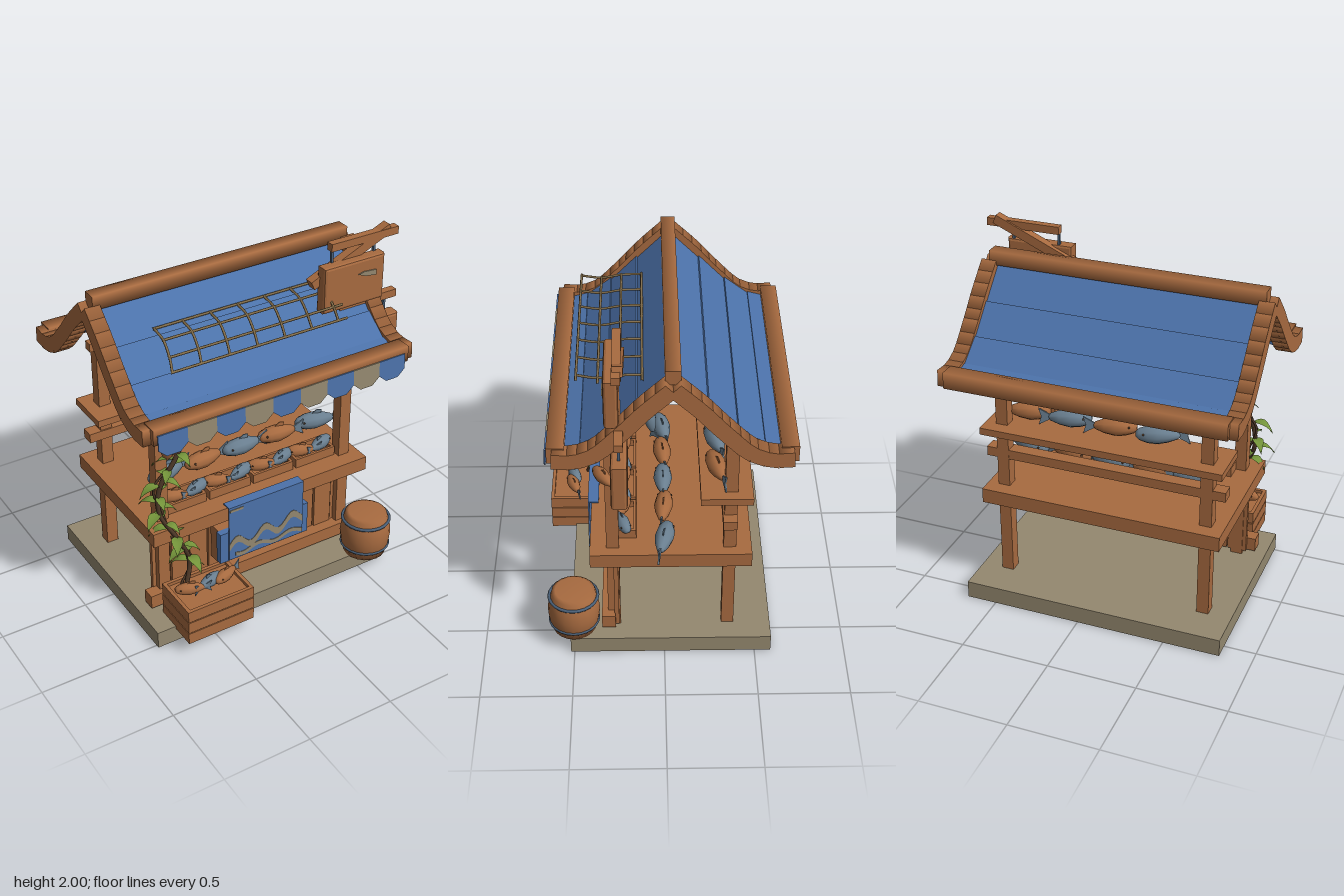
import * as THREE from 'three';

const mat = (name, color) => new THREE.MeshStandardMaterial({ name, color });
const V = (x, y, z) => new THREE.Vector3(x, y, z);

export function createModel() {
  const model = new THREE.Group();
  model.name = 'marketStall';
  const wood = mat('wood', 0xa86b40), blue = mat('blueCloth', 0x4c72aa), tan = mat('tanStone', 0x94886f);
  const grey = mat('greyFish', 0x6a7f90), iron = mat('iron', 0x4a6078), dark = mat('darkStem', 0x4d3827);
  const green = mat('leafGreen', 0x74943a), rope = mat('rope', 0x86704c);
  green.side = THREE.DoubleSide;

  const add = (parent, name, geo, material, x = 0, y = 0, z = 0) => {
    const m = new THREE.Mesh(geo, material);
    m.name = name;
    m.position.set(x, y, z);
    parent.add(m);
    return m;
  };
  // Box given by its extents
  const box = (name, x0, x1, y0, y1, z0, z1, material = wood, parent = model) =>
    add(parent, name, new THREE.BoxGeometry(x1 - x0, y1 - y0, z1 - z0), material, (x0 + x1) / 2, (y0 + y1) / 2, (z0 + z1) / 2);
  // Square beam along x with softly shaded edges
  const log = (len, h, d) => new THREE.CylinderGeometry(Math.SQRT1_2, Math.SQRT1_2, 1, 4)
    .rotateY(Math.PI / 4).rotateZ(Math.PI / 2).scale(len, h, d);
  // Box beam between two points
  const beam = (name, a, b, w, material = wood) => {
    const m = add(model, name, new THREE.BoxGeometry(w, w, a.distanceTo(b)), material);
    m.position.copy(a).lerp(b, 0.5);
    m.lookAt(b);
    return m;
  };
  const tube = (name, pts, r, material, seg = 12) =>
    add(model, name, new THREE.TubeGeometry(new THREE.CatmullRomCurve3(pts), seg, r, 6), material);
  const plate = (pts, depth) => new THREE.ExtrudeGeometry(
    new THREE.Shape(pts.map(p => new THREE.Vector2(p[0], p[1]))), { depth, bevelEnabled: false });

  // Base, posts and braces
  box('base', -0.82, 0.67, 0, 0.1, -0.59, 0.52, tan);
  for (const [x, s] of [[-0.655, 1], [0.515, -1]]) {
    for (const [z, top] of [[0.277, 1.5], [-0.352, 1.47]]) {
      box('post', x - 0.034, x + 0.034, 0.1, top, z - 0.034, z + 0.034);
      beam('brace', V(x, 1.18, z), V(x + s * 0.2, 1.4, z), 0.035);
    }
  }
  for (const z of [0.277, -0.352]) box('topRail', -0.72, 0.58, 1.39, 1.44, z - 0.025, z + 0.025);

  // Counter, shelf and front wall
  box('counterTop', -0.76, 0.61, 0.575, 0.66, -0.47, 0.4);
  box('shelf', -0.76, 0.61, 1.0, 1.04, -0.465, -0.19);
  box('backRail', -0.76, 0.61, 0.83, 0.885, -0.385, -0.31);
  box('bottomRail', -0.76, 0.6, 0.12, 0.2, 0.27, 0.345);
  const planks = 11, pw = 1.29 / planks;
  for (let i = 0; i < planks; i++) {
    const x = -0.71 + i * pw;
    box('wallPlank', x, x + pw - 0.007, 0.12, 0.575, 0.25, 0.275 + (i % 2) * 0.008);
  }

  // Roof: two mirrored slopes of overlapping cloth rows
  const roof = new THREE.Group();
  roof.name = 'roof';
  roof.position.set(-0.07, 0, -0.04);
  model.add(roof);
  add(roof, 'ridgeBeam', log(1.54, 0.078, 0.078), wood, 0, 1.867, 0);
  const rows = [[0, 1.825], [0.17, 1.668], [0.32, 1.525], [0.46, 1.425], [0.57, 1.4]];
  const rim = new THREE.CatmullRomCurve3([V(0, 1.815, 0), V(0.0, 1.7, 0.135), V(0, 1.566, 0.257),
    V(0, 1.44, 0.39), V(0, 1.4, 0.495), V(0, 1.4, 0.6)].map((p, i) => i ? p : V(0, 1.82, 0.01)));
  for (const turn of [0, Math.PI]) {
    const slope = new THREE.Group();
    slope.name = 'roofSlope';
    slope.rotation.y = turn;
    roof.add(slope);
    for (let i = 0; i < 4; i++) {
      const [d0, y0] = rows[i], [d1, y1] = rows[i + 1];
      const len = Math.hypot(d1 - d0, y1 - y0) + 0.012;
      const pts = [[0.73, 0], [-0.73, 0], [-0.73, -len]];
      for (let x = -0.6 + (i % 2) * 0.12; x < 0.72; x += 0.245)
        pts.push([x - 0.02, -len], [x, -len + 0.012], [x + 0.02, -len]);
      pts.push([0.73, -len]);
      const row = add(slope, 'roofRow', plate(pts, 0.012), blue, 0, y0, d0);
      row.rotation.x = Math.atan2(d0 - d1, y0 - y1) + 0.0;
      row.rotation.x += 0.04; // lower edge lifts over the next row
    }
    add(slope, 'eaveBeam', log(1.54, 0.09, 0.09), wood, 0, 1.405, 0.585);
    const n = 11;
    for (const x of [-0.772, 0.772]) for (let i = 0; i < n; i++) {
      const u = (i + 0.5) / n, p = rim.getPointAt(u), t = rim.getTangentAt(u);
      const tile = add(slope, 'rimBlock', log(0.086, 0.088, rim.getLength() / n + 0.008), wood, x, p.y, p.z);
      tile.rotation.x = -Math.atan2(t.y, t.z);
    }
  }

  // Striped valance
  const sw = 1.49 / 9;
  for (let i = 0; i < 9; i++) {
    const flap = add(model, 'valanceFlap', plate([[0, 0], [0, -0.085], [0.045, -0.125], [sw - 0.045, -0.125], [sw, -0.085], [sw, 0]].reverse(), 0.007),
      i % 2 ? tan : blue, -0.82 + i * sw, 1.417, 0.594);
    flap.rotation.x = -0.05;
  }

  // Net lying on the front slope
  const netPoint = (x, k) => V(x - 0.085 * k * k, 1.7 - 0.055 * k + 0.01 * Math.sin(k * 6), 0.11 + 0.335 * k);
  for (let k = 0; k < 4; k++) tube('netRope', [netPoint(-0.57, k / 3), netPoint(-0.05, k / 3), netPoint(0.48, k / 3)], 0.007, rope);
  for (let i = 0; i < 7; i++)
    tube('netCrossRope', [0, 0.33, 0.66, 1].map(k => netPoint(-0.56 + i * 0.164, k)), 0.007, rope);

  // Signs on the right with their supports
  const signBoard = (name, x0, x1, y0, y1, z0, z1) => {
    const w = x1 - x0, h = y1 - y0, b = 0.015;
    const g = new THREE.ExtrudeGeometry(new THREE.Shape([[b, b], [w - b, b], [w - b, h - b], [b, h - b]].map(p => new THREE.Vector2(...p))),
      { depth: z1 - z0 - 2 * b, bevelSize: b, bevelThickness: b, bevelSegments: 2 });
    return add(model, name, g, wood, x0, y0, z0 + b);
  };
  signBoard('upperSign', 0.35, 0.735, 1.6, 1.865, 0.225, 0.3);
  signBoard('lowerSign', 0.55, 0.875, 1.2, 1.455, 0.185, 0.27);
  const mark = [[0, 0.02], [0.05, 0], [0.12, -0.01], [0.115, 0.022], [0.04, 0.028]];
  add(model, 'signMark', plate(mark, 0.006), tan, 0.56, 1.765, 0.3);
  beam('upperSignArm', V(0.42, 1.952, 0.232), V(0.85, 1.952, 0.232), 0.044);
  beam('upperSignPole', V(0.31, 1.76, 0.225), V(0.8, 1.975, 0.225), 0.052);
  beam('lowerSignArm', V(0.49, 1.57, 0.227), V(0.865, 1.57, 0.227), 0.044);
  for (const x of [0.43, 0.7]) beam('signHanger', V(x, 1.85, 0.24), V(x, 1.95, 0.24), 0.014, iron);
  for (const x of [0.63, 0.8]) beam('signHanger', V(x, 1.44, 0.227), V(x, 1.56, 0.227), 0.014, iron);

  // Fish: head towards +x, tail towards -x
  const bodyGeo = new THREE.LatheGeometry([[0.001, -0.4], [0.07, -0.36], [0.14, -0.18], [0.18, 0.02], [0.165, 0.2],
    [0.11, 0.36], [0.05, 0.42], [0.001, 0.42]].map(p => new THREE.Vector2(...p)), 10).rotateZ(-Math.PI / 2);
  const tailGeo = plate([[-0.58, 0.17], [-0.53, 0], [-0.58, -0.17], [-0.35, -0.04], [-0.35, 0.04]], 0.03).translate(0, 0, -0.015);
  const finGeo = plate([[-0.12, 0.14], [0.12, 0.14], [-0.04, 0.24], [-0.14, 0.22]], 0.02).translate(0, 0, -0.01);
  const eyeGeo = new THREE.SphereGeometry(0.022, 8, 6);
  const fish = (x, y, z, ry, rz, len, isWood) => {
    const f = new THREE.Group();
    f.name = isWood ? 'brownFish' : 'greyFish';
    f.position.set(x, y, z);
    f.rotation.set(0, ry, rz);
    f.scale.setScalar(len);
    add(f, 'fishBody', bodyGeo, isWood ? wood : grey);
    add(f, 'fishTail', tailGeo, grey);
    add(f, 'fishFin', finGeo, isWood ? wood : grey);
    for (const s of [-1, 1]) add(f, 'fishEye', eyeGeo, dark, 0.28, 0.05, s * 0.125);
    model.add(f);
  };
  [-0.35, -0.1, 0.16, 0.4].forEach((x, i) => fish(x, 1.098, -0.28, i ? Math.PI + 0.25 : 0.3, 0, 0.29, i % 2));
  [-0.46, -0.22, 0.03, 0.27, 0.53].forEach((x, i) => fish(x, 0.715, 0.0, Math.PI + 0.2 - 0.1 * i, 0, 0.29, i % 2));
  [-0.54, -0.4, -0.27, -0.12, 0.02, 0.15, 0.28, 0.41].forEach((x, i) => fish(x, 0.725, 0.225, i % 2 ? 0.35 : Math.PI - 0.3, 0, 0.21, i % 2 === 0));
  [-0.49, -0.28, -0.07, 0.15].forEach((x, i) => {
    fish(x, 1.22, 0.07, 0.9 * (i % 2 ? 1 : -1), Math.PI / 2 + (i % 2 ? 0.25 : -0.2), 0.19, i % 2 === 0);
    beam('hangingRope', V(x, 1.28, 0.072), V(x, 1.49, 0.072), 0.008, rope);
  });
  fish(-0.645, 1.19, 0.365, 0.3, -Math.PI / 2, 0.24, true);
  fish(0.715, 1.285, 0.31, Math.PI + 0.55, 0, 0.2, true);
  [[-0.62, 2.8], [-0.5, 0.3], [-0.4, 3.5]].forEach(([x, r], i) => fish(x, 0.335, 0.53, r, 0, 0.2, i !== 1));

  // Open box made of boards
  const tray = (name, x0, x1, y0, y1, z0, z1, boards, t) => {
    const h = (y1 - y0) / boards, gap = boards > 1 ? 0.006 : 0;
    box(name + 'Floor', x0 + t, x1 - t, y0, y0 + t, z0 + t, z1 - t);
    for (let i = 0; i < boards; i++) {
      const a = y0 + i * h, b = a + h - gap;
      for (const z of [z0, z1 - t]) box(name + 'Board', x0, x1, a, b, z, z + t);
      for (const x of [x0, x1 - t]) box(name + 'Side', x, x + t, a, b, z0 + t, z1 - t);
    }
  };
  for (let i = 0; i < 4; i++) tray('fishTray', -0.63 + i * 0.28, -0.37 + i * 0.28, 0.66, 0.715, 0.15, 0.285, 1, 0.015);
  tray('crate', -0.71, -0.305, 0.085, 0.305, 0.38, 0.665, 3, 0.02);
  box('crateFill', -0.69, -0.325, 0.11, 0.28, 0.4, 0.645);

  // Barrel with hoops
  const barrel = [[0.001, 0], [0.12, 0], [0.138, 0.07], [0.145, 0.13], [0.138, 0.19], [0.12, 0.255], [0.1, 0.265], [0.001, 0.265]];
  add(model, 'barrel', new THREE.LatheGeometry(barrel.map(p => new THREE.Vector2(...p)), 20), wood, 0.555, 0.1, 0.5);
  for (const y of [0.155, 0.325]) add(model, 'barrelHoop', new THREE.TorusGeometry(0.134, 0.009, 6, 24).rotateX(Math.PI / 2), iron, 0.555, y, 0.5);

  // Front panel with a draped, wave-patterned banner
  box('panelBack', -0.35, 0.2, 0.28, 0.5, 0.29, 0.37);
  box('panelFace', -0.36, 0.21, 0.305, 0.5, 0.37, 0.41, blue);
  box('banner', -0.31, 0.17, 0.315, 0.66, 0.411, 0.42, blue);
  box('bannerFold', -0.31, 0.17, 0.66, 0.667, 0.36, 0.42, blue);
  const wave = (x0, x1, f, w) => {
    const top = [], low = [];
    for (let i = 0; i <= 24; i++) {
      const x = x0 + (x1 - x0) * i / 24;
      top.push([x, f(x) + w]);
      low.unshift([x, f(x) - w]);
    }
    add(model, 'bannerWave', plate([...low.reverse(), ...top.reverse()], 0.004), tan, 0, 0, 0.419);
  };
  wave(-0.31, 0.168, x => 0.425 + 0.08 * (x + 0.07) + 0.035 * Math.cos((x + 0.08) * 35), 0.022);
  wave(-0.27, 0.168, x => 0.35 + 0.015 * Math.cos((x + 0.12) * 30), 0.012);
  box('bannerPatch', -0.305, -0.22, 0.637, 0.652, 0.419, 0.423, tan);

  // Climbing vine with leaves
  const path = [V(-0.6, 0.28, 0.45), V(-0.56, 0.42, 0.42), V(-0.62, 0.58, 0.425), V(-0.7, 0.75, 0.36), V(-0.69, 0.9, 0.35),
    V(-0.6, 1.06, 0.36), V(-0.53, 1.2, 0.36), V(-0.47, 1.32, 0.35)];
  tube('vine', path, 0.013, dark, 40);
  tube('vineTwist', path.map((p, i) => V(p.x + 0.025 * (i % 2 ? 1 : -1), p.y, p.z - 0.02)), 0.007, dark, 40);
  const curve = new THREE.CatmullRomCurve3(path);
  const leafGeo = new THREE.PlaneGeometry(1, 1, 6, 2).translate(0.5, 0, 0).rotateX(-Math.PI / 2);
  const lp = leafGeo.attributes.position;
  for (let i = 0; i < lp.count; i++) {
    const x = lp.getX(i), z = lp.getZ(i);
    lp.setXYZ(i, x * 0.115, 0.03 * Math.sin(x * 2.2) - 0.065 * x * x + Math.abs(z) * 0.015, z * 0.062 * Math.sin(Math.PI * Math.pow(x, 0.8)));
  }
  leafGeo.computeVertexNormals();
  for (let i = 0; i < 30; i++) {
    const p = curve.getPointAt(0.1 + 0.88 * i / 30);
    const leaf = add(model, 'leaf', leafGeo, green, p.x, p.y, p.z);
    leaf.rotation.y = i * 2.4;
    leaf.scale.setScalar(0.8 + 0.3 * ((i * 7) % 5) / 5);
  }
  return model;
}
